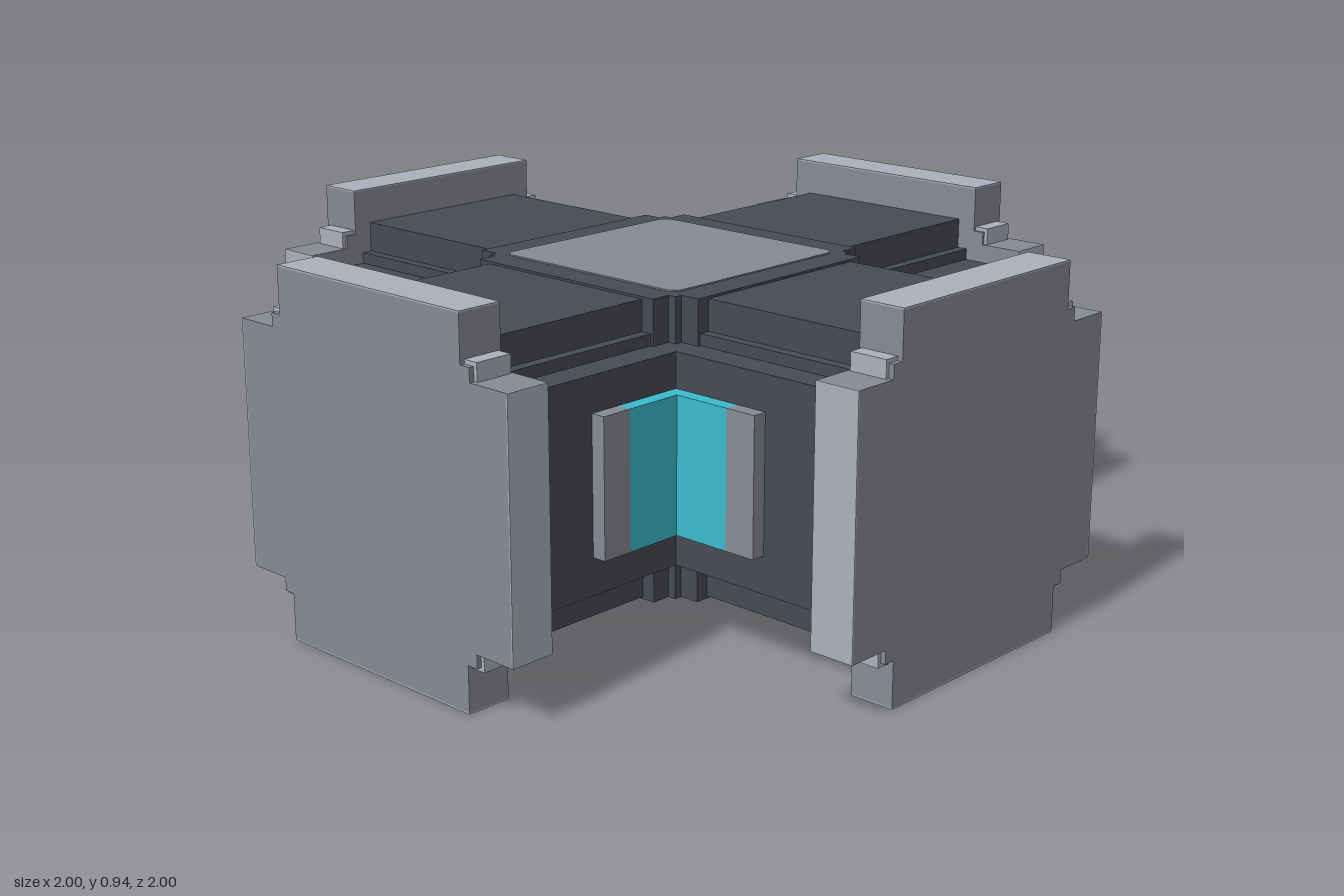
import * as THREE from 'three';

const mat = (name, color) => Object.assign(new THREE.MeshStandardMaterial({ color }), { name });

export function createModel() {
  const dark = mat('dark hull', 0x474b54);
  const grey = mat('mid grey', 0x878b95);
  const light = mat('light grey trim', 0xabb1bc);
  const cyan = mat('cyan glass', 0x3bbccd);
  const black = mat('dark underside panel', 0x292b30);

  const model = new THREE.Group();
  model.name = 'crossCorridor';
  const MID = 0.4725;

  const add = (parent, name, geo, material, x = 0, y = 0, z = 0) => {
    const m = new THREE.Mesh(geo, material);
    m.name = name;
    m.position.set(x, y, z);
    parent.add(m);
    return m;
  };
  const box = (parent, name, material, w, h, d, x, y, z) =>
    add(parent, name, new THREE.BoxGeometry(w, h, d), material, x, y, z);

  // Mirror one quadrant of points into a closed four-fold symmetric outline
  const mirrored = (q) => {
    const r = [...q].reverse();
    return new THREE.Shape([
      ...q,
      ...r.map(([x, y]) => [-x, y]),
      ...q.map(([x, y]) => [-x, -y]),
      ...r.map(([x, y]) => [x, -y]),
    ].map(([x, y]) => new THREE.Vector2(x, y)));
  };
  const extrude = (shape, depth) =>
    new THREE.ExtrudeGeometry(shape, { depth, bevelEnabled: false, curveSegments: 5 });

  // Two crossing corridors with stepped edges
  const armShape = mirrored([
    [0.375, 0.268], [0.297, 0.268], [0.297, 0.298], [0.268, 0.298], [0.268, 0.378],
  ]);
  for (const turn of [0, Math.PI / 2]) {
    const arm = new THREE.Group();
    arm.name = 'corridor';
    add(arm, 'corridorHull', extrude(armShape, 1.77), dark, 0, MID, -0.885);
    arm.rotation.y = turn;
    model.add(arm);
  }

  // Central collar with staircase corners
  const collarShape = mirrored([
    [0.38, 0.305], [0.327, 0.305], [0.327, 0.327], [0.305, 0.327], [0.305, 0.38],
  ]);
  add(model, 'centreCollar', extrude(collarShape, 0.768), dark, 0, MID - 0.384, 0).rotation.x = -Math.PI / 2;
  model.getObjectByName('centreCollar').position.y = MID - 0.384;

  // Rounded panels above and below the crossing
  const panel = new THREE.Shape();
  const p = 0.3, r = 0.035;
  panel.moveTo(-p + r, -p);
  panel.lineTo(p - r, -p).quadraticCurveTo(p, -p, p, -p + r);
  panel.lineTo(p, p - r).quadraticCurveTo(p, p, p - r, p);
  panel.lineTo(-p + r, p).quadraticCurveTo(-p, p, -p, p - r);
  panel.lineTo(-p, -p + r).quadraticCurveTo(-p, -p, -p + r, -p);
  const panelGeo = extrude(panel, 0.005);
  add(model, 'roofPanel', panelGeo, grey, 0, 0.855, 0).rotation.x = -Math.PI / 2;
  add(model, 'floorPanel', panelGeo, black, 0, 0.09, 0).rotation.x = Math.PI / 2;

  // Docking flange at each corridor end, with light rims
  const flangeShape = mirrored([
    [0.466, 0.3175], [0.35, 0.3175], [0.35, 0.352], [0.32, 0.352], [0.32, 0.4685],
  ]);
  const flangeGeo = extrude(flangeShape, 0.12);
  for (let i = 0; i < 4; i++) {
    const flange = new THREE.Group();
    flange.name = 'dockingFlange';
    add(flange, 'flangePlate', flangeGeo, grey, 0, MID, 0.88);
    box(flange, 'flangeCornerStep', light, 0.72, 0.725, 0.1, 0, MID, 0.937);
    for (const s of [-1, 1]) {
      box(flange, 'flangeEndRim', light, 0.64, 0.004, 0.12, 0, MID + s * 0.4705, 0.94);
      box(flange, 'flangeSideRim', light, 0.004, 0.635, 0.12, s * 0.468, MID, 0.94);
    }
    flange.rotation.y = i * Math.PI / 2;
    model.add(flange);
  }

  // L-shaped windows wrapped into the four inner corners
  for (let i = 0; i < 4; i++) {
    const win = new THREE.Group();
    win.name = 'cornerWindow';
    box(win, 'windowGlass', cyan, 0.2, 0.35, 0.04, 0.47, 0.475, 0.393);
    box(win, 'windowGlass', cyan, 0.04, 0.35, 0.157, 0.393, 0.475, 0.4915);
    box(win, 'windowFrame', grey, 0.085, 0.35, 0.04, 0.6125, 0.475, 0.393);
    box(win, 'windowFrame', grey, 0.04, 0.35, 0.085, 0.393, 0.475, 0.6125);
    win.rotation.y = i * Math.PI / 2;
    model.add(win);
  }

  return model;
}
